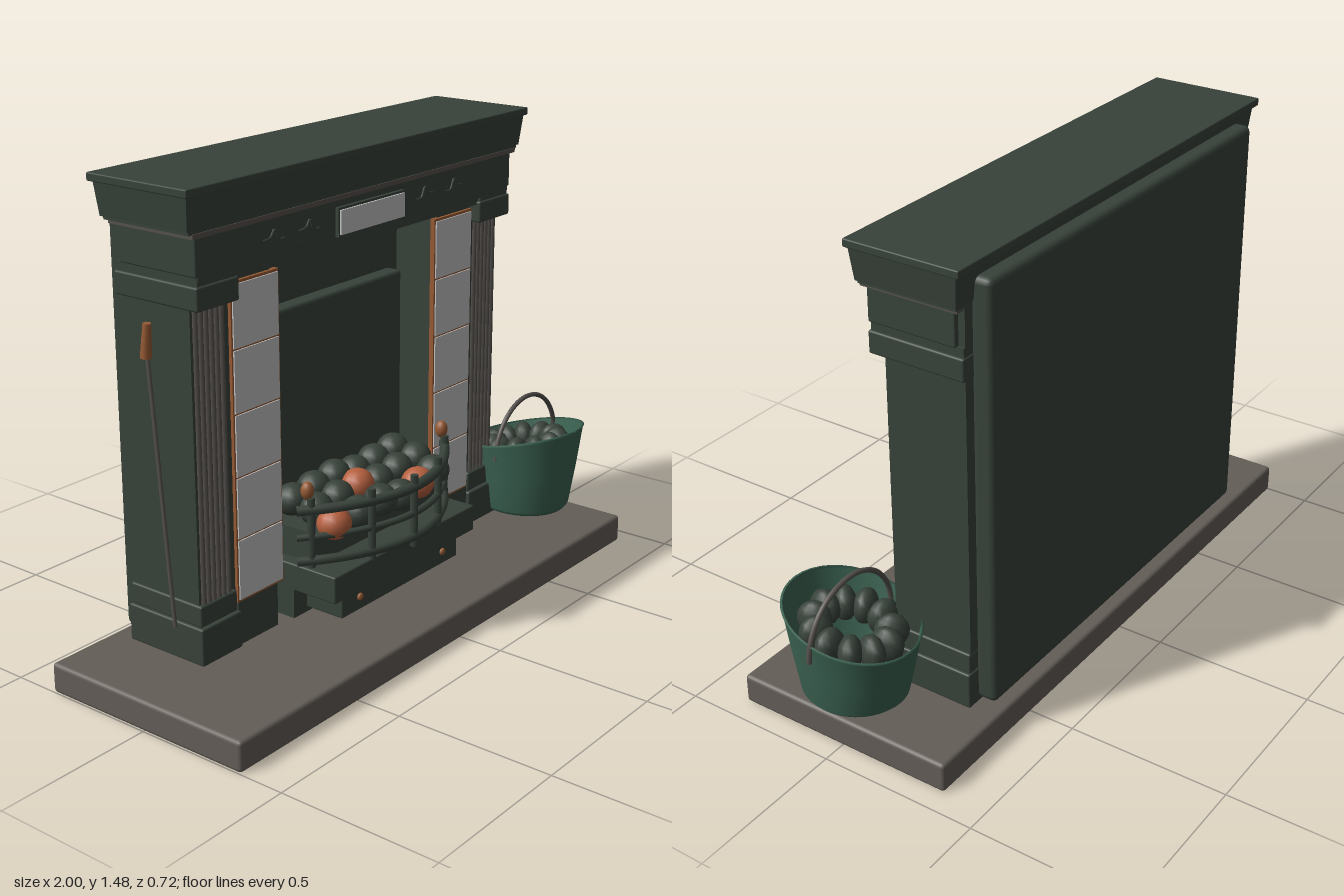
import * as THREE from 'three';
import { RoundedBoxGeometry } from 'three/addons/geometries/RoundedBoxGeometry.js';

export function createModel() {
  const root = new THREE.Group();
  root.name = 'fireplace';
  const mat = (name, color, extra = {}) => {
    const m = new THREE.MeshStandardMaterial({ color, ...extra });
    m.name = name;
    return m;
  };
  const iron = mat('dark green iron', 0x38423a);
  const stone = mat('hearth stone', 0x635d57);
  const tile = mat('pale tile', 0xc4c4c4);
  const copper = mat('copper', 0x965a34);
  const ember = mat('ember', 0xb5603f);
  const steel = mat('grey steel', 0x55514d);
  const pail = mat('bucket green', 0x3c6453, { side: THREE.DoubleSide });

  const CX = -0.035; // middle of the surround
  const add = (name, geo, m, parent = root) => {
    const mesh = new THREE.Mesh(geo, m);
    mesh.name = name;
    parent.add(mesh);
    return mesh;
  };
  // box given by its limits; r > 0 rounds the edges
  const box = (name, m, x0, x1, y0, y1, z0, z1, r = 0) => {
    const s = [x1 - x0, y1 - y0, z1 - z0];
    const g = r ? new RoundedBoxGeometry(...s, 2, r) : new THREE.BoxGeometry(...s);
    g.translate((x0 + x1) / 2, (y0 + y1) / 2, (z0 + z1) / 2);
    return add(name, g, m);
  };
  // box mirrored about the middle of the surround, given by distances from it
  const pair = (name, m, d0, d1, y0, y1, z0, z1, r = 0) => {
    box(name + 'Left', m, CX + d0, CX + d1, y0, y1, z0, z1, r);
    box(name + 'Right', m, CX - d1, CX - d0, y0, y1, z0, z1, r);
  };
  const wide = (name, m, half, y0, y1, z0, z1, r = 0) =>
    box(name, m, CX - half, CX + half, y0, y1, z0, z1, r);
  const tube = (name, m, pts, r, seg = 24, sides = 8) =>
    add(name, new THREE.TubeGeometry(
      new THREE.CatmullRomCurve3(pts.map((p) => new THREE.Vector3(...p))), seg, r, sides), m);
  const ball = (name, m, x, y, z, rx, ry = rx, rz = rx) => {
    const b = add(name, new THREE.SphereGeometry(1, 14, 10), m);
    b.position.set(x, y, z);
    b.scale.set(rx, ry, rz);
    return b;
  };

  // hearth and rear slab
  box('hearth', stone, -1, 0.93, 0, 0.093, -0.36, 0.36, 0.012);
  wide('rearSlab', iron, 0.69, 0.115, 1.43, -0.34, -0.272, 0.02);

  // mantel: shelf, tapered cornice, bed mould, frieze
  wide('shelf', iron, 0.785, 1.46, 1.484, -0.31, 0.056, 0.004);
  const cornice = wide('cornice', iron, 0.775, 1.365, 1.46, -0.295, 0.046);
  const cp = cornice.geometry.attributes.position;
  for (let i = 0; i < cp.count; i++) {
    if (cp.getY(i) < 1.4) {
      cp.setX(i, CX + (cp.getX(i) - CX) * 0.987);
      cp.setZ(i, cp.getZ(i) > 0 ? 0.036 : -0.285);
    }
  }
  cornice.geometry.computeVertexNormals();
  wide('corniceFoot', iron, 0.757, 1.355, 1.37, -0.28, 0.033);
  wide('bedMould', steel, 0.745, 1.343, 1.357, -0.275, 0.036);
  wide('frieze', iron, 0.73, 1.235, 1.345, -0.255, 0.028, 0.005);
  wide('friezeCore', iron, 0.715, 1.2, 1.36, -0.276, 0.015);
  wide('lowerMould', iron, 0.72, 1.222, 1.238, -0.276, 0.026);
  box('plaqueBack', iron, -0.19, 0.12, 1.236, 1.322, 0.02, 0.04);
  box('plaque', tile, -0.184, 0.114, 1.243, 1.315, 0.038, 0.046);

  // scrolled frieze ornament
  for (const s of [-1, 1]) {
    for (const d of [0.27, 0.42]) {
      const w = 0.045;
      tube('friezeScroll', iron, [
        [CX + s * (d - w), 1.277, 0.028], [CX + s * (d - 0.02), 1.278, 0.03],
        [CX + s * d, 1.31, 0.03], [CX + s * (d + 0.015), 1.29, 0.03],
        [CX + s * (d + w), 1.283, 0.028]], 0.004, 16, 5);
    }
  }

  // pilasters
  pair('pilasterShaft', iron, 0.575, 0.715, 0.1, 1.2, -0.275, -0.014);
  pair('capital', iron, 0.565, 0.73, 1.142, 1.21, -0.28, 0.03, 0.006);
  pair('capitalTop', iron, 0.575, 0.722, 1.2, 1.236, -0.276, 0.024);
  pair('plinth', iron, 0.565, 0.73, 0.1, 0.215, -0.28, 0.01, 0.006);
  pair('plinthTop', iron, 0.572, 0.722, 0.215, 0.28, -0.277, 0, 0.006);
  for (const s of [-1, 1]) {
    for (let i = 0; i < 6; i++) {
      const reed = add('pilasterReed', new THREE.CylinderGeometry(0.0085, 0.0085, 0.865, 8), steel);
      reed.position.set(CX + s * (0.595 + i * 0.0205), 0.71, -0.013);
    }
  }

  // tiled jambs
  pair('jamb', iron, 0.393, 0.58, 0.1, 1.235, -0.275, -0.014);
  pair('jambFoot', iron, 0.395, 0.566, 0.1, 0.235, -0.05, -0.004);
  pair('tileFrame', copper, 0.368, 0.566, 0.235, 1.185, -0.02, -0.004);
  for (let i = 0; i < 5; i++) {
    const y = 0.24 + i * 0.188;
    pair('tile', tile, 0.374, 0.56, y + 0.003, y + 0.185, -0.006, 0);
  }

  // firebox
  wide('fireboxWall', iron, 0.42, 0.1, 1.25, -0.275, -0.17);
  wide('fireboxPanel', iron, 0.355, 0.12, 1.01, -0.18, -0.12, 0.012);
  wide('ashBase', iron, 0.35, 0.2, 0.285, -0.13, 0.178, 0.005);
  wide('ashBox', iron, 0.35, 0.11, 0.21, -0.13, 0.02);
  wide('ashDrawer', iron, 0.29, 0.125, 0.2, 0, 0.155, 0.004);
  for (const s of [-1, 1]) ball('drawerKnob', copper, CX + s * 0.208, 0.168, 0.158, 0.012, 0.012, 0.008);

  // bowed grate: rails, posts and finials
  const bow = (d) => 0.2 - 0.155 * (d / 0.365) ** 2;
  for (const [y, r] of [[0.305, 0.015], [0.38, 0.011], [0.465, 0.016]]) {
    const pts = [];
    for (let d = -0.365; d < 0.37; d += 0.073) pts.push([CX + d, y, bow(d)]);
    tube('grateRail', iron, pts, r, 32);
  }
  for (const d of [-0.33, -0.165, 0, 0.165, 0.33]) {
    const post = add('gratePost', new THREE.CylinderGeometry(0.012, 0.012, 0.23, 8), iron);
    post.position.set(CX + d, 0.388, bow(d));
  }
  for (const s of [-1, 1]) ball('grateFinial', copper, CX + s * 0.33, 0.522, 0.06, 0.02, 0.028, 0.02);

  // coals on the fire
  const glowing = [3, 8, 17];
  const coals = [];
  for (let row = 0; row < 3; row++) {
    for (let i = 0; i < 6; i++) coals.push([-0.28 + i * 0.098 + (row % 2) * 0.02, 0.4 + row * 0.018, 0.08 - row * 0.075]);
  }
  coals.forEach(([x, y, z], i) => {
    const bulge = z > 0.05 ? 0.03 * (1 - (Math.abs(x - CX) / 0.3) ** 2) : 0;
    const hot = [0, 4, 8].includes(i);
    ball(hot ? 'glowingCoal' : 'coal', hot ? ember : iron, x, y + (i % 3) * 0.008, z + bulge, 0.055, 0.05, 0.052);
  });
  wide('coalBed', iron, 0.31, 0.28, 0.38, -0.12, 0.07);

  // bucket with a slanting rim
  const bucket = new THREE.Group();
  bucket.name = 'bucket';
  bucket.position.set(0.803, 0, 0.045);
  root.add(bucket);
  const profile = [[0, 0.108], [0.135, 0.108], [0.147, 0.122], [0.167, 0.24], [0.184, 0.355], [0.188, 0.362], [0.182, 0.364]];
  const bg = new THREE.LatheGeometry(profile.map((p) => new THREE.Vector2(...p)), 40);
  const bp = bg.attributes.position;
  for (let i = 0; i < bp.count; i++) {
    const z = bp.getZ(i) * 1.1;
    bp.setZ(i, z);
    bp.setY(i, bp.getY(i) + z * 0.24 * (bp.getY(i) - 0.108) / 0.255);
  }
  bg.computeVertexNormals();
  add('bucketBody', bg, pail, bucket);
  const floor = add('bucketFloor', new THREE.CylinderGeometry(0.12, 0.12, 0.008, 24), stone, bucket);
  floor.position.y = 0.118;
  for (let i = 0; i < 11; i++) {
    const a = (i / 11) * Math.PI * 2;
    const c = add('bucketCoal', new THREE.SphereGeometry(1, 12, 8), iron, bucket);
    c.scale.set(0.052, 0.055, 0.036);
    c.rotation.y = -a;
    c.position.set(Math.cos(a) * 0.103, 0.315 + Math.sin(a) * 0.02, Math.sin(a) * 0.113);
  }
  const handle = add('bucketHandle', new THREE.TorusGeometry(0.181, 0.008, 8, 32, Math.PI), steel, bucket);
  handle.position.set(0.008, 0.308, 0);

  // poker leaning on the right side
  tube('pokerRod', steel, [[-0.764, 1.0, -0.165], [-0.772, 0.2, -0.09]], 0.006, 4);
  const grip = add('pokerGrip', new THREE.CylinderGeometry(0.012, 0.017, 0.1, 10), copper);
  grip.position.set(-0.762, 1.03, -0.167);
  grip.rotation.x = 0.09;

  return root;
}
